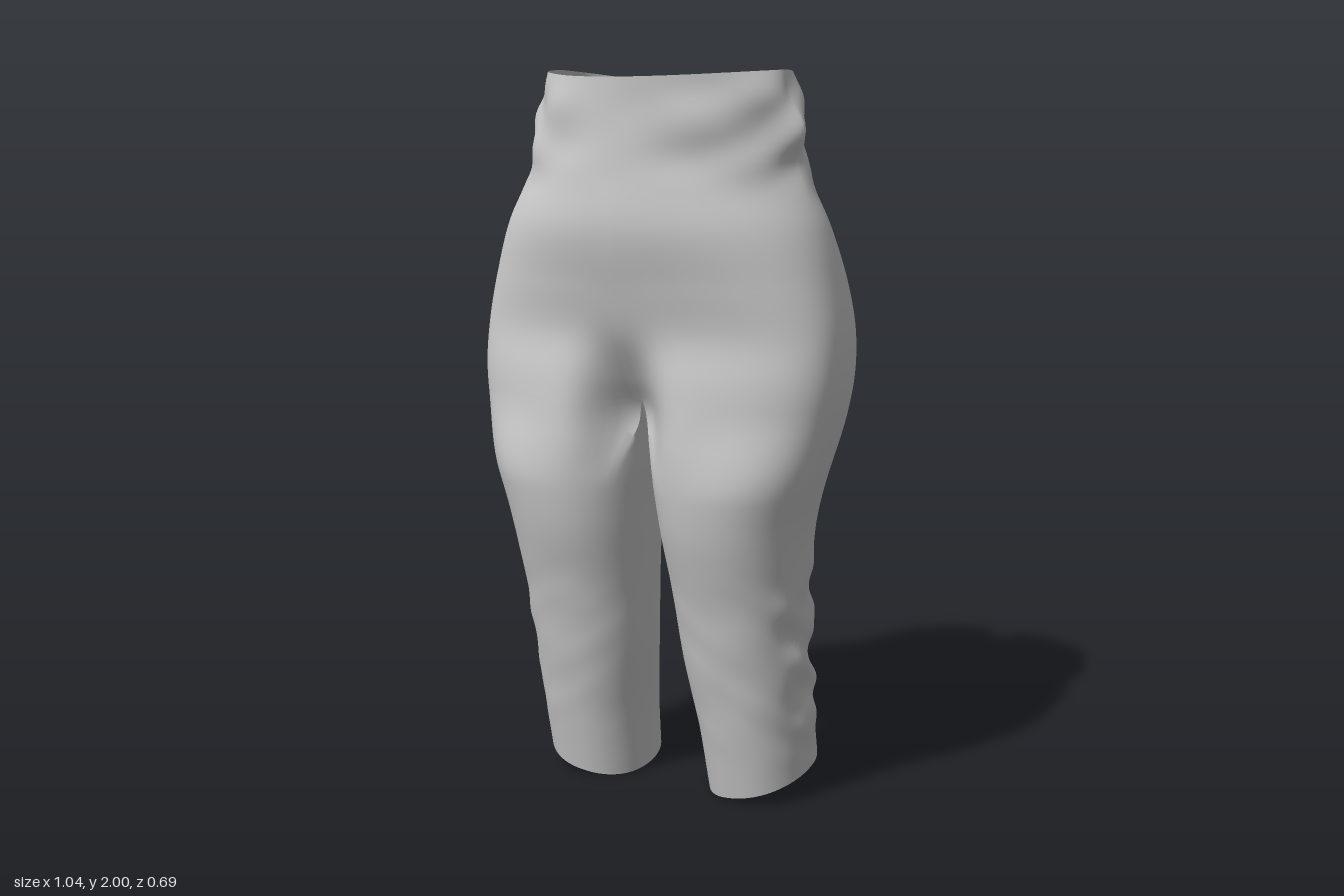
import * as THREE from 'three';
import { mergeVertices } from 'three/addons/utils/BufferGeometryUtils.js';

// Height, then: outer x, inner leg x, front z, back z, front squareness, front dent, back dent
const PROFILE = [
  [0.00, 0.400, 0.105, 0.06, -0.285, 0.65, 0, 0],
  [0.20, 0.405, 0.092, 0.11, -0.25, 0.65, 0, 0],
  [0.40, 0.408, 0.066, 0.16, -0.21, 0.65, 0, 0],
  [0.60, 0.418, 0.050, 0.21, -0.195, 0.65, 0, 0],
  [0.80, 0.438, 0.030, 0.27, -0.19, 0.65, 0.15, 0.12],
  [1.00, 0.490, 0.008, 0.302, -0.205, 0.65, 0.18, 0.14],
  [1.10, 0.510, 0.002, 0.304, -0.245, 0.65, 0.17, 0.14],
  [1.20, 0.520, 0, 0.297, -0.318, 0.65, 0.10, 0.10],
  [1.32, 0.515, 0, 0.284, -0.353, 0.68, 0.015, 0.03],
  [1.45, 0.490, 0, 0.312, -0.344, 0.8, 0, 0.008],
  [1.60, 0.450, 0, 0.348, -0.298, 1.0, 0, 0],
  [1.75, 0.388, 0, 0.342, -0.28, 1.25, 0, 0],
  [1.86, 0.385, 0, 0.338, -0.28, 1.45, 0, 0],
  [2.00, 0.340, 0, 0.340, -0.268, 1.6, 0, 0],
];
const CROTCH = 1.14;
const OUTER = 60, INNER = 20, TORSO_ROWS = 44, LEG_ROWS = 72;

const interpolant = new THREE.CubicInterpolant(
  PROFILE.map(r => r[0]), PROFILE.flatMap(r => r.slice(1)), 7, new Float32Array(7));
const profileAt = y => Array.from(interpolant.evaluate(THREE.MathUtils.clamp(y, 0, 2)));
const smooth = THREE.MathUtils.smoothstep;
const lerp = THREE.MathUtils.lerp;

// Half of the hip and waist section: u runs from front centre round the side to back centre
function torsoPoint(u, y, side) {
  const [xo, , zf, zb, squareness, dentF, dentB] = profileAt(y);
  const t = Math.PI * u, s = Math.sin(t), c = Math.cos(t);
  const p = c > 0 ? squareness : lerp(0.74, 1, smooth(y, 1.4, 1.8));
  // Diagonal gathers below the waistband
  const gather = smooth(y, 1.66, 1.82) * (1 - 0.5 * smooth(y, 1.9, 2));
  const fold = gather * s * (0.013 * Math.sin(34 * y + 7 * c + side) + 0.012 * Math.sin(24 * u + 22 * y));
  const x = xo * s * (1 + fold * 1.6);
  let z = (c > 0 ? zf : -zb) * Math.sign(c) * Math.pow(Math.abs(c), p) * (1 + 2 * fold);
  const groove = Math.exp(-((x / 0.095) ** 2));
  if (c > 0) z -= dentF * groove;
  else {
    z += dentB * groove;
    // Pinched pleat at the back of the waistband
    z += 0.085 * smooth(y, 1.76, 1.94) * Math.exp(-((x / 0.043) ** 4));
  }
  return [x, y, z];
}

// Closed leg section, angle measured from the front towards the outside
function legPoint(angle, y, side) {
  const [xo, xi, zf, zb] = profileAt(y);
  const s = Math.sin(angle), c = Math.cos(angle);
  const round = v => Math.sign(v) * Math.pow(Math.abs(v), 0.92);
  // Slanting creases behind and outside the knee
  const zone = smooth(y, 0.08, 0.25) * (1 - smooth(y, 0.55, 0.75));
  const where = 0.1 + 0.9 * smooth(s * 0.6 - c * 0.8, -0.2, 0.7);
  const crease = zone * where * (0.035 * Math.sin(38 * y + 3 * angle + side) +
    0.03 * Math.sin(27 * y - 4 * angle + 2 * side) + 0.02 * Math.sin(55 * y + 7 * angle));
  const k = 1 + crease;
  return [(xo + xi) / 2 + (xo - xi) / 2 * round(s) * (s > 0 ? k : 1), y,
    (zf + zb) / 2 + (zf - zb) / 2 * round(c) * k];
}

function createModel() {
  const positions = [], indices = [];

  // Adds a grid of points running downwards, mirrored when side is -1
  function addGrid(rows, columns, side, pointAt) {
    const start = positions.length / 3, w = columns + 1;
    for (let i = 0; i <= rows; i++) {
      for (let j = 0; j <= columns; j++) {
        const [x, y, z] = pointAt(i / rows, j);
        positions.push(side * x, y, z);
      }
    }
    for (let i = 0; i < rows; i++) {
      for (let j = 0; j < columns; j++) {
        const a = start + i * w + j, b = a + 1, c = a + w, d = c + 1;
        if (side > 0) indices.push(a, c, b, b, c, d);
        else indices.push(a, b, c, b, d, c);
      }
    }
  }

  for (const side of [1, -1]) {
    // Waist and hips, with a slightly uneven top edge
    addGrid(TORSO_ROWS, OUTER, side, (r, j) => {
      const u = j / OUTER;
      const top = 2 - (u > 0.5 ? 0.04 : 0.018) * Math.cos(Math.PI * u) ** 2;
      return torsoPoint(u, lerp(top, CROTCH, r), side);
    });

    // Leg, opening out from the half section and the crotch seam into a tube
    addGrid(LEG_ROWS, OUTER + INNER, side, (r, j) => {
      const outside = j <= OUTER;
      const u = j / OUTER, v = (j - OUTER) / INNER;
      const angle = THREE.MathUtils.degToRad(outside ? -50 + 280 * u : 230 + 80 * v);
      const topY = outside ? CROTCH : CROTCH - 0.06 * Math.sin(Math.PI * v);
      const hemY = 0.046 + 0.035 * Math.sin(angle) - 0.03 * Math.cos(angle);
      const y = lerp(topY, hemY, r);
      const leg = legPoint(angle, y, side);
      let upper;
      if (outside) upper = torsoPoint(u, y, side);
      else {
        const yEdge = lerp(CROTCH, y, smooth(r, 0, 0.1));
        upper = [0, y, lerp(torsoPoint(1, yEdge, side)[2], torsoPoint(0, yEdge, side)[2], v)];
      }
      const blend = smooth(r, 0, 0.22);
      return [lerp(upper[0], leg[0], blend), y, lerp(upper[2], leg[2], blend)];
    });
  }

  // Weld the centre and leg seams so that the cloth shades smoothly
  let geometry = new THREE.BufferGeometry();
  geometry.setAttribute('position', new THREE.Float32BufferAttribute(positions, 3));
  geometry.setIndex(indices);
  geometry = mergeVertices(geometry, 1e-4);
  geometry.computeVertexNormals();

  const cloth = new THREE.MeshStandardMaterial({ color: 0xcccccc, side: THREE.DoubleSide });
  const trousers = new THREE.Mesh(geometry, cloth);
  trousers.name = 'trousers';
  const group = new THREE.Group();
  group.name = 'croppedTrousers';
  group.add(trousers);
  return group;
}

export { createModel };
